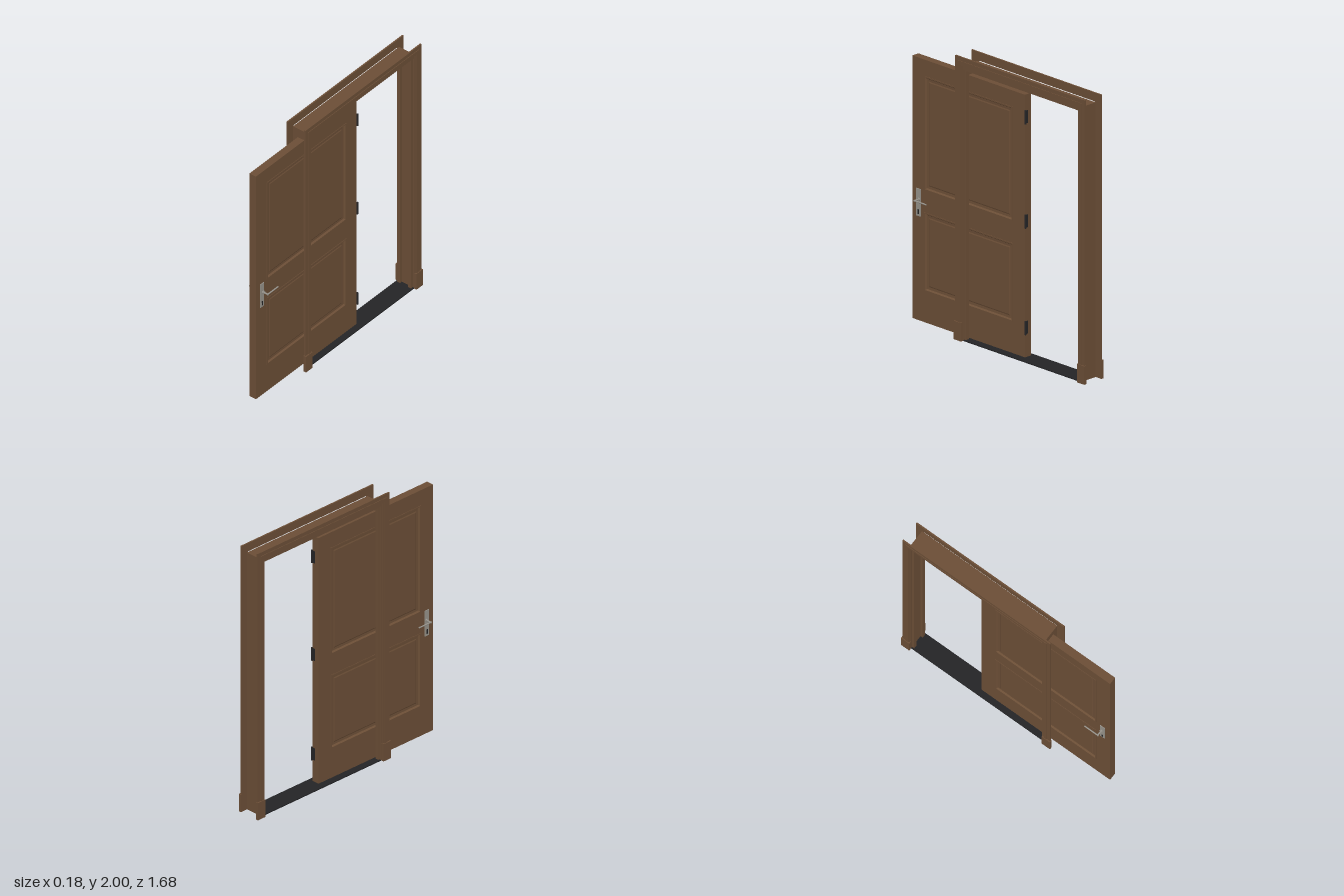
import * as THREE from 'three';

const mat = (name, color) => new THREE.MeshStandardMaterial({ name, color });

export function createModel() {
  const wood = mat('brown wood', 0x6b4e36);
  const steel = mat('brushed steel', 0x96928a);
  const dark = mat('dark metal', 0x242426);
  const root = new THREE.Group();
  root.name = 'panelDoorInFrame';

  // Box given by its min and max on each axis
  const box = (parent, name, m, [x0, x1], [y0, y1], [z0, z1]) => {
    const mesh = new THREE.Mesh(new THREE.BoxGeometry(x1 - x0, y1 - y0, z1 - z0), m);
    mesh.position.set((x0 + x1) / 2, (y0 + y1) / 2, (z0 + z1) / 2);
    mesh.name = name;
    parent.add(mesh);
    return mesh;
  };
  const rod = (parent, name, m, r, len, axis, x, y, z) => {
    const mesh = new THREE.Mesh(new THREE.CylinderGeometry(r, r, len, 16), m);
    if (axis === 'x') mesh.rotation.z = Math.PI / 2;
    if (axis === 'z') mesh.rotation.x = Math.PI / 2;
    mesh.position.set(x, y, z);
    mesh.name = name;
    parent.add(mesh);
  };
  const span = (s, a, b) => (s > 0 ? [a, b] : [-b, -a]);

  // Frame: jambs, head and guide stops
  const frame = new THREE.Group();
  frame.name = 'frame';
  root.add(frame);
  box(frame, 'frontJamb', wood, [-0.07, 0.07], [0, 1.915], [0.315, 0.33]);
  box(frame, 'rearJamb', wood, [-0.07, 0.07], [0, 1.915], [-0.785, -0.77]);
  box(frame, 'headJamb', wood, [-0.07, 0.07], [1.915, 1.935], [-0.785, 0.33]);
  box(frame, 'threshold', dark, [-0.07, 0.07], [0, 0.008], [-0.77, 0.315]);
  for (const s of [1, -1]) {
    const x = span(s, 0.034, 0.06);
    box(frame, 'frontStop', wood, x, [0.008, 1.915], [0.302, 0.315]);
    box(frame, 'rearStop', wood, x, [0.008, 1.915], [-0.77, -0.752]);
    box(frame, 'headStop', wood, x, [1.903, 1.915], [-0.752, 0.302]);
  }

  // Casing: nested U-shaped strips of different thickness, plus plinth blocks
  const Z0 = -0.835, Z1 = 0.385;
  const casingStrip = (s, a, b, t) => {
    const shape = new THREE.Shape([
      [Z0 + a, 0], [Z0 + a, 2 - a], [Z1 - a, 2 - a], [Z1 - a, 0],
      [Z1 - b, 0], [Z1 - b, 2 - b], [Z0 + b, 2 - b], [Z0 + b, 0],
    ].map(([z, y]) => new THREE.Vector2(z, y)));
    const mesh = new THREE.Mesh(
      new THREE.ExtrudeGeometry(shape, { depth: t, bevelEnabled: false }), wood);
    mesh.rotation.y = -Math.PI / 2;
    mesh.position.x = s > 0 ? 0.07 + t : -0.07;
    mesh.name = 'casing';
    frame.add(mesh);
  };
  for (const s of [1, -1]) {
    casingStrip(s, 0, 0.027, 0.011);
    casingStrip(s, 0.027, 0.052, 0.015);
    casingStrip(s, 0.052, 0.06, 0.01);
    box(frame, 'frontPlinth', wood, span(s, 0.07, 0.09), [0, 0.13], [0.321, 0.39]);
    box(frame, 'rearPlinth', wood, span(s, 0.07, 0.09), [0, 0.13], [-0.84, -0.771]);
  }

  // Door leaf: stiles and rails
  const door = new THREE.Group();
  door.name = 'door';
  root.add(door);
  const T = 0.028, zA = -0.107, zB = 0.727;
  box(door, 'rearStile', wood, [-T, T], [0.015, 1.865], [-0.22, zA]);
  box(door, 'frontStile', wood, [-T, T], [0.015, 1.865], [zB, 0.84]);
  for (const y of [[0.015, 0.235], [0.79, 0.945], [1.75, 1.865]]) {
    box(door, 'rail', wood, [-T, T], y, [zA, zB]);
  }

  // Moulded panel: concentric rectangles at stepped depths, closed by a raised field
  const steps = [[0, T], [0, 0.031], [0.009, 0.031], [0.017, 0.02],
    [0.034, 0.019], [0.042, 0.022]];
  const panel = (s, y0, y1) => {
    const rings = steps.map(([i, x]) => [
      [s * x, y0 + i, zA + i], [s * x, y0 + i, zB - i],
      [s * x, y1 - i, zB - i], [s * x, y1 - i, zA + i]]);
    const pos = [];
    const quad = (a, b, c, d) =>
      (s > 0 ? [a, c, b, a, d, c] : [a, b, c, a, c, d]).forEach((p) => pos.push(...p));
    for (let r = 0; r + 1 < rings.length; r++) {
      for (let k = 0; k < 4; k++) {
        const n = (k + 1) % 4;
        quad(rings[r][k], rings[r][n], rings[r + 1][n], rings[r + 1][k]);
      }
    }
    quad(...rings[rings.length - 1]);
    const g = new THREE.BufferGeometry();
    g.setAttribute('position', new THREE.Float32BufferAttribute(pos, 3));
    g.computeVertexNormals();
    const mesh = new THREE.Mesh(g, wood);
    mesh.name = 'mouldedPanel';
    door.add(mesh);
  };
  for (const s of [1, -1]) {
    panel(s, 0.235, 0.79);
    panel(s, 0.945, 1.75);
  }

  // Lever handles with back plates and keyholes
  for (const s of [1, -1]) {
    const handle = new THREE.Group();
    handle.name = 'handle';
    door.add(handle);
    box(handle, 'backPlate', steel, span(s, T, 0.033), [0.75, 0.943], [0.76, 0.799]);
    rod(handle, 'collar', steel, 0.011, 0.012, 'x', s * 0.038, 0.87, 0.773);
    rod(handle, 'spindle', steel, 0.006, 0.05, 'x', s * 0.055, 0.87, 0.773);
    rod(handle, 'lever', steel, 0.005, 0.115, 'z', s * 0.075, 0.87, 0.722);
    rod(handle, 'keyholeTop', dark, 0.007, 0.002, 'x', s * 0.0335, 0.793, 0.78);
    box(handle, 'keyholeSlot', dark, span(s, 0.0325, 0.0345), [0.765, 0.793], [0.775, 0.785]);
  }

  // Three hinges on the rear edge
  for (const y of [0.223, 0.973, 1.708]) {
    const hinge = new THREE.Group();
    hinge.name = 'hinge';
    door.add(hinge);
    rod(hinge, 'hingeKnuckle', dark, 0.007, 0.096, 'y', 0.029, y, -0.225);
    box(hinge, 'hingeLeaf', dark, [0.004, 0.029], [y - 0.045, y + 0.045], [-0.223, -0.219]);
  }
  return root;
}
